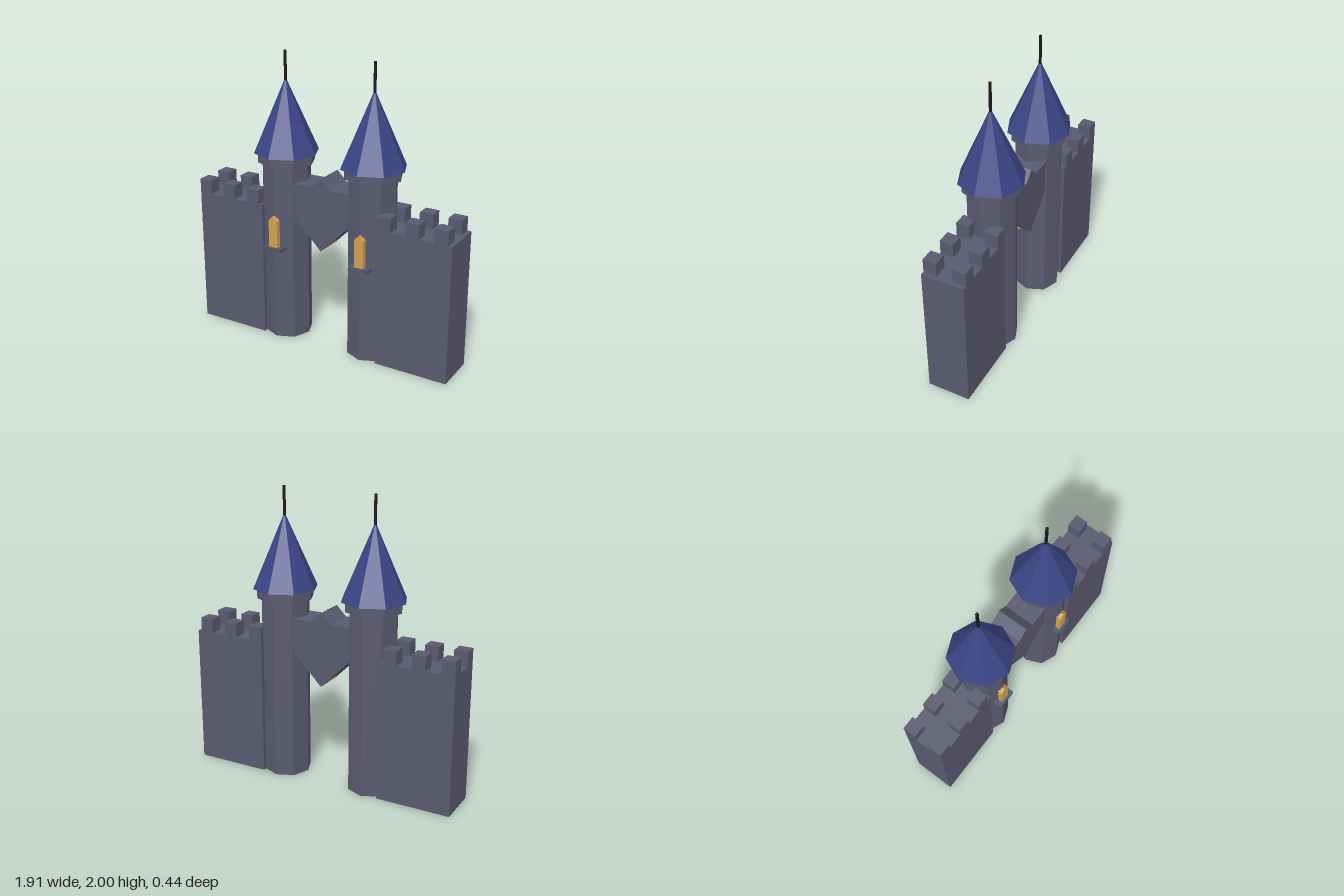
import * as THREE from 'three';

const mat = (name, color) => {
  const m = new THREE.MeshStandardMaterial({ color, flatShading: true });
  m.name = name;
  return m;
};

export function createModel() {
  const stone = mat('stone', 0x5a5a70);
  const sillStone = mat('sill stone', 0x50566c);
  const roofBlue = mat('roof blue', 0x3a4585);
  const gold = mat('window gold', 0xd2a254);
  const iron = mat('spire iron', 0x17171c);

  const gate = new THREE.Group();
  gate.name = 'castleGate';

  const add = (parent, name, geometry, material, x = 0, y = 0, z = 0) => {
    const mesh = new THREE.Mesh(geometry, material);
    mesh.name = name;
    mesh.position.set(x, y, z);
    parent.add(mesh);
    return mesh;
  };
  // Box given by its minimum and maximum corners
  const box = (parent, name, material, [x0, y0, z0], [x1, y1, z1]) =>
    add(parent, name, new THREE.BoxGeometry(x1 - x0, y1 - y0, z1 - z0), material,
      (x0 + x1) / 2, (y0 + y1) / 2, (z0 + z1) / 2);
  // Upright outline extruded along z
  const slab = (points, depth) => new THREE.ExtrudeGeometry(
    new THREE.Shape(points.map(([x, y]) => new THREE.Vector2(x, y))),
    { depth, bevelEnabled: false });

  // Octagonal towers with collar, roof, spire and a lit window
  for (const side of [-1, 1]) {
    const tower = new THREE.Group();
    tower.name = side > 0 ? 'leftTower' : 'rightTower';
    tower.position.x = side * 0.33;
    gate.add(tower);

    add(tower, 'towerShaft', new THREE.CylinderGeometry(0.165, 0.165, 1.26, 8), stone, 0, 0.63);
    add(tower, 'towerCollar', new THREE.CylinderGeometry(0.195, 0.195, 0.065, 8), stone, 0, 1.2875);
    add(tower, 'towerRoof', new THREE.ConeGeometry(0.222, 0.505, 8), roofBlue, 0, 1.5725);
    add(tower, 'spire', new THREE.CylinderGeometry(0.01, 0.01, 0.2, 8), iron, 0, 1.9);

    const pane = [[-0.033, 0.68], [0.033, 0.68], [0.033, 0.878], [0, 0.91], [-0.033, 0.878]];
    add(tower, 'window', slab(pane, 0.045), gold, 0, 0, 0.14);
    box(tower, 'windowSill', sillStone, [-0.07, 0.66, 0.13], [0.07, 0.685, 0.2]);
  }

  // Side walls with two rows of merlons, spaced from each wall's -x end
  for (const [name, x0] of [['rightWall', -0.957], ['leftWall', 0.44]]) {
    const wall = new THREE.Group();
    wall.name = name;
    gate.add(wall);
    box(wall, 'wallBody', stone, [x0, 0, -0.148], [x0 + 0.517, 0.957, 0.148]);
    for (let i = 0; i < 3; i++) {
      const x = x0 + i * 0.198;
      for (const z of [-0.148, 0.055]) {
        box(wall, 'merlon', stone, [x, 0.957, z], [x + 0.093, 1.055, z + 0.093]);
      }
    }
  }

  // Bridge between the towers: V-shaped underside and a small gable on top
  const outline = [
    [-0.21, 0.91], [0, 0.7], [0.21, 0.91], [0.21, 1.142],
    [0.07, 1.142], [0, 1.212], [-0.07, 1.142], [-0.21, 1.142],
  ];
  add(gate, 'bridge', slab(outline, 0.22), stone, 0, 0, -0.11);

  // Lamp whose lower edges show through the underside
  box(gate, 'bridgeLamp', gold, [-0.035, 0.724, -0.055], [0.035, 0.78, 0.055]);

  return gate;
}
